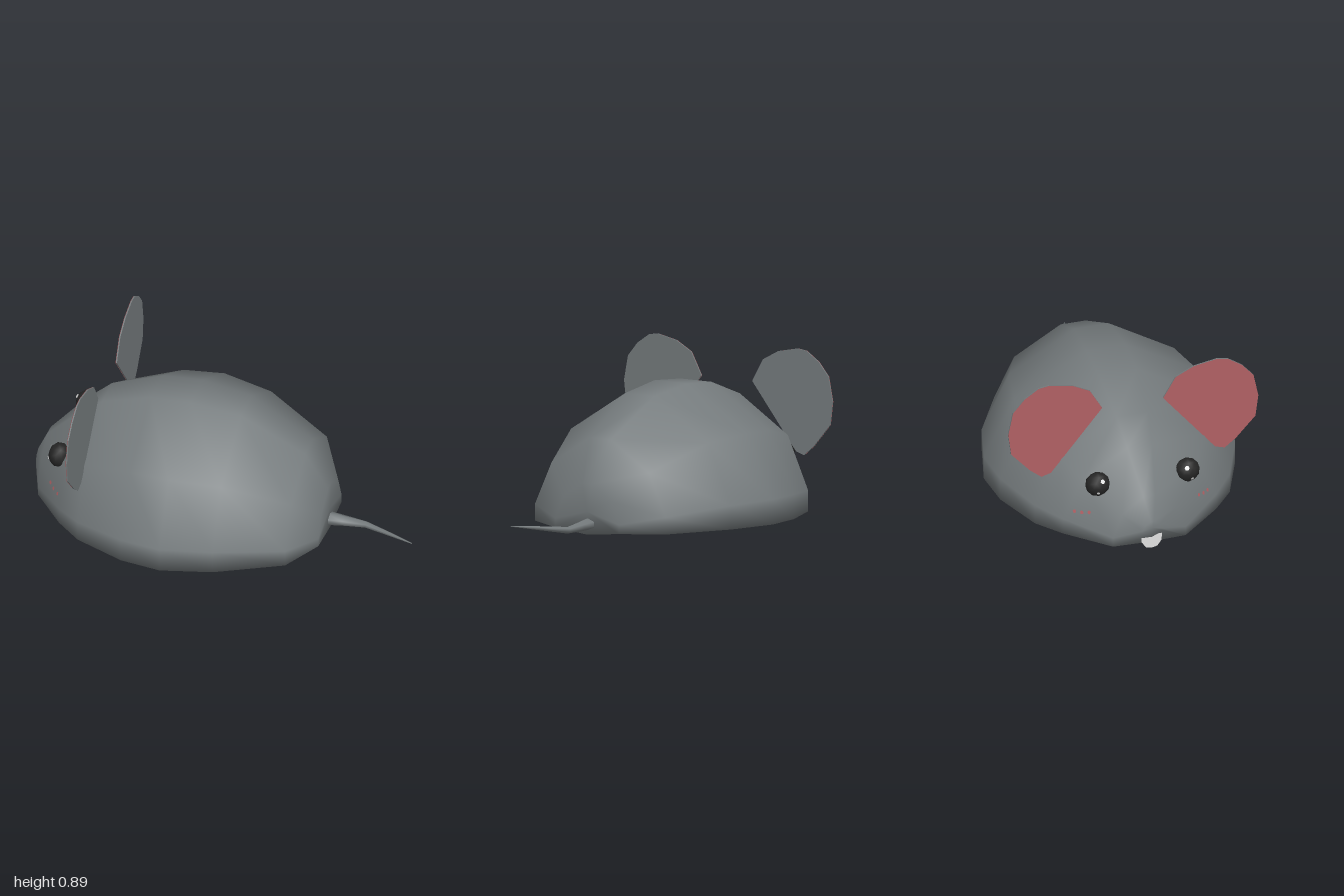
import * as THREE from 'three';

const material = (name, color, side = THREE.FrontSide) => {
  const m = new THREE.MeshStandardMaterial({ color, side });
  m.name = name;
  return m;
};

// Skin a list of equal-length point loops, closing both ends with a fan
function loft(rings) {
  const n = rings[0].length, pos = [], idx = [];
  rings.forEach(r => r.forEach(p => pos.push(...p)));
  for (let a = 0; a < rings.length - 1; a++) {
    for (let i = 0; i < n; i++) {
      const j = (i + 1) % n, p = a * n, q = p + n;
      idx.push(p + i, q + i, p + j, q + i, q + j, p + j);
    }
  }
  [0, rings.length - 1].forEach(a => {
    const c = pos.length / 3;
    for (let k = 0; k < 3; k++) pos.push(rings[a].reduce((s, p) => s + p[k], 0) / n);
    for (let i = 0; i < n; i++) {
      const j = (i + 1) % n;
      if (a === 0) idx.push(c, i, j);
      else idx.push(c, a * n + j, a * n + i);
    }
  });
  const g = new THREE.BufferGeometry();
  g.setAttribute('position', new THREE.Float32BufferAttribute(pos, 3));
  g.setIndex(idx);
  g.computeVertexNormals();
  return g;
}

// Body stations from nose to rump: x, half width, top, side edge height, keel height
const STATIONS = [
  [-1, 0.05, 0.21, 0.15, 0.13],
  [-0.945, 0.19, 0.33, 0.06, 0.055],
  [-0.77, 0.4, 0.52, 0.068, 0.04],
  [-0.64, 0.51, 0.63, 0.068, 0.027],
  [-0.38, 0.615, 0.72, 0.067, 0.002],
  [-0.17, 0.64, 0.735, 0.066, 0.007],
  [0.09, 0.575, 0.7, 0.065, 0.017],
  [0.42, 0.41, 0.515, 0.063, 0.035],
  [0.53, 0.2, 0.3, 0.06, 0.04],
];

function bodySection([x, w, top, edge, keel]) {
  const y = t => edge + (top - edge) * t;
  const side = [[1, edge], [1, y(0.19)], [0.75, y(0.67)], [0.16, top]];
  return [
    [x, keel, 0],
    ...side.map(([f, h]) => [x, h, f * w]),
    ...side.reverse().map(([f, h]) => [x, h, -f * w]),
  ];
}

export function createModel() {
  const grey = material('grey fur', 0x757b7d);
  const pink = material('pink skin', 0xb06064, THREE.DoubleSide);
  const black = material('black eye', 0x262626);
  const white = material('white', 0xe2e2e2, THREE.DoubleSide);
  const model = new THREE.Group();
  const add = (name, geometry, mat, parent = model) => {
    const mesh = new THREE.Mesh(geometry, mat);
    mesh.name = name;
    parent.add(mesh);
    return mesh;
  };

  add('body', loft(STATIONS.map(bodySection)), grey);

  // Tail: tapering six-sided rings, x, y, z, half height, half width
  const tail = [
    [0.5, 0.095, 0, 0.032, 0.05],
    [0.6, 0.09, -0.01, 0.025, 0.033],
    [0.715, 0.085, -0.016, 0.017, 0.018],
    [0.86, 0.106, 0.055, 0.01, 0.011],
    [1, 0.125, 0.125, 0.002, 0.003],
  ].map(([x, y, z, h, w]) => Array.from({ length: 6 }, (_, i) => {
    const a = i * Math.PI / 3;
    return [x, y - h * Math.cos(a), z + w * Math.sin(a)];
  }));
  add('tail', loft(tail), grey);

  // Ear outline as sideways distance and height, cut straight along the body
  const earOutline = [
    [0.16, 0.7], [0.225, 0.815], [0.32, 0.865], [0.44, 0.888], [0.495, 0.88], [0.57, 0.83],
    [0.63, 0.76], [0.655, 0.635], [0.64, 0.515], [0.54, 0.4], [0.48, 0.35], [0.43, 0.365],
  ];

  for (const s of [1, -1]) {
    const label = s > 0 ? 'near' : 'far';

    // Ear: grey shell with a pink inner face
    const ear = new THREE.Group();
    ear.name = label + 'Ear';
    const shape = new THREE.Shape(earOutline.map(([u, v]) => new THREE.Vector2(s * u, v)));
    add('earShell', new THREE.ExtrudeGeometry(shape, { depth: 0.006, bevelEnabled: false }), grey, ear);
    add('earInner', new THREE.ShapeGeometry(shape), pink, ear).position.z = 0.008;
    ear.rotation.y = -Math.PI / 2 - s * 0.025;
    ear.position.x = -0.634;
    model.add(ear);

    // Eye: faceted bead with two glints
    const eye = new THREE.Group();
    eye.name = label + 'Eye';
    eye.position.set(-0.82, 0.367, s * 0.235);
    const bead = new THREE.IcosahedronGeometry(1, 1).scale(0.055, 0.064, 0.064);
    add('eyeball', bead, black, eye);
    [[-0.75, 0.55, -0.2, 0.013], [-0.85, -0.3, 0.15, 0.009]].forEach(([x, y, z, r]) => {
      const d = new THREE.Vector3(x, y, s * z).normalize();
      const glint = add('eyeGlint', new THREE.CircleGeometry(r, 6), white, eye);
      glint.position.copy(d).multiply(new THREE.Vector3(0.058, 0.067, 0.067));
      glint.lookAt(d.multiplyScalar(10));
    });
    model.add(eye);

    // Three whisker spots lying on the cheek
    [[-0.845, 0.222, 0.283], [-0.82, 0.212, 0.314], [-0.79, 0.206, 0.344]].forEach(([x, y, z]) => {
      const normal = new THREE.Vector3(-0.7, 0.35, s * 0.65).normalize();
      const spot = add(label + 'WhiskerSpot', new THREE.CircleGeometry(0.01, 6), pink);
      spot.position.set(x, y, s * z).addScaledVector(normal, 0.008);
      spot.lookAt(spot.position.clone().add(normal));
    });
  }

  // Front tooth: thin plate with a rounded lower end
  const tooth = new THREE.Shape([
    [-0.055, 0.15], [-0.052, 0.085], [-0.03, 0.052], [0, 0.045], [0.03, 0.052], [0.052, 0.085], [0.055, 0.15],
  ].map(([u, v]) => new THREE.Vector2(u, v)));
  const toothMesh = add('tooth', new THREE.ShapeGeometry(tooth), white);
  toothMesh.rotation.y = -Math.PI / 2;
  toothMesh.position.x = -0.985;

  return model;
}
